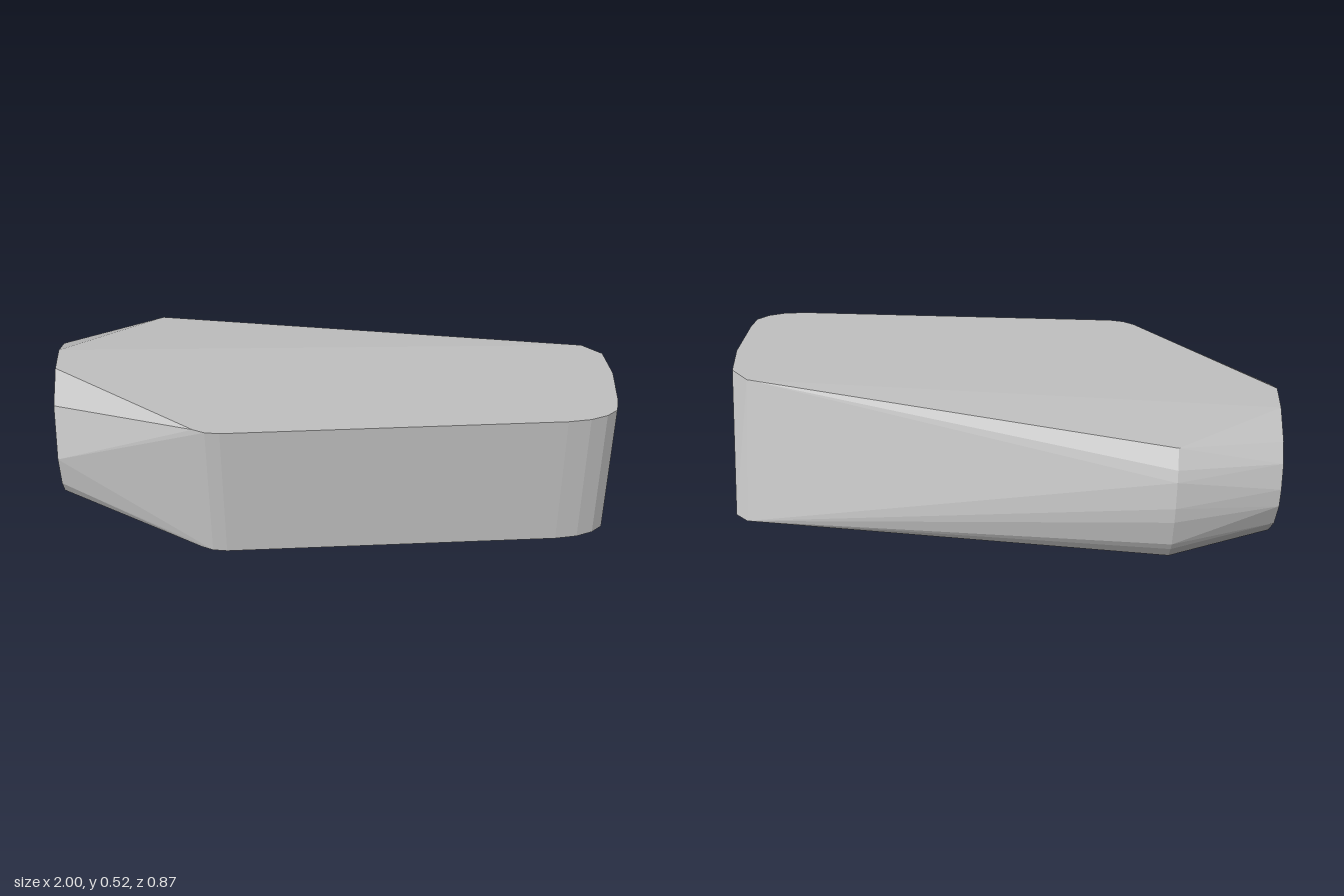
import * as THREE from 'three';
import { ConvexGeometry } from 'three/addons/geometries/ConvexGeometry.js';

export function createModel() {
  const stone = new THREE.MeshStandardMaterial({ color: 0xc0c0c0 });
  stone.name = 'stone grey';
  const points = [];
  const add = (x, y, z) => points.push(new THREE.Vector3(x, y, z));

  // Rounded front corners, shared by the flat top and bottom [x, z]
  const front = [[-0.5, 0.405], [-0.46, 0.425], [-0.41, 0.433], [0.77, 0.433],
    [0.85, 0.425], [0.91, 0.405], [0.95, 0.375], [0.965, 0.32]];
  for (const [x, z] of front) {
    add(x, 0.52, z);
    add(x + 0.003, 0, z - 0.002);
  }

  // Sloping blunt end: the bottom reaches further back than the top
  for (const [x, z] of [[0.91, -0.04], [0.975, 0.02], [0.985, 0.15]]) add(x, 0.52, z);
  for (const [x, z] of [[0.93, -0.215], [0.978, -0.18], [1, 0.13], [0.985, 0.26]]) add(x, 0, z);

  // Bulging back rib [z, y]
  for (const [z, y] of [[-0.355, 0.502], [-0.4, 0.44], [-0.417, 0.4], [-0.435, 0.3],
    [-0.436, 0.24], [-0.418, 0.125], [-0.4, 0.088], [-0.355, 0.018], [-0.32, 0]]) add(-0.63, y, z);

  // Rounded flat end [z, y]
  for (const [z, y] of [[-0.34, 0.25], [-0.335, 0.32], [-0.305, 0.41], [-0.25, 0.465],
    [-0.12, 0.518], [0, 0.518], [0.13, 0.445], [0.2, 0.26], [0.185, 0.14],
    [0.15, 0.08], [0.06, 0.04], [-0.22, 0.04], [-0.3, 0.14]]) add(-1, y, z);

  // Underside lifts gently towards the rounded end
  add(-0.71, 0, -0.24);
  add(-0.71, 0, 0.24);

  const body = new THREE.Mesh(new ConvexGeometry(points), stone);
  body.name = 'facetedBlock';
  const group = new THREE.Group();
  group.name = 'facetedStoneBlock';
  group.add(body);
  return group;
}
